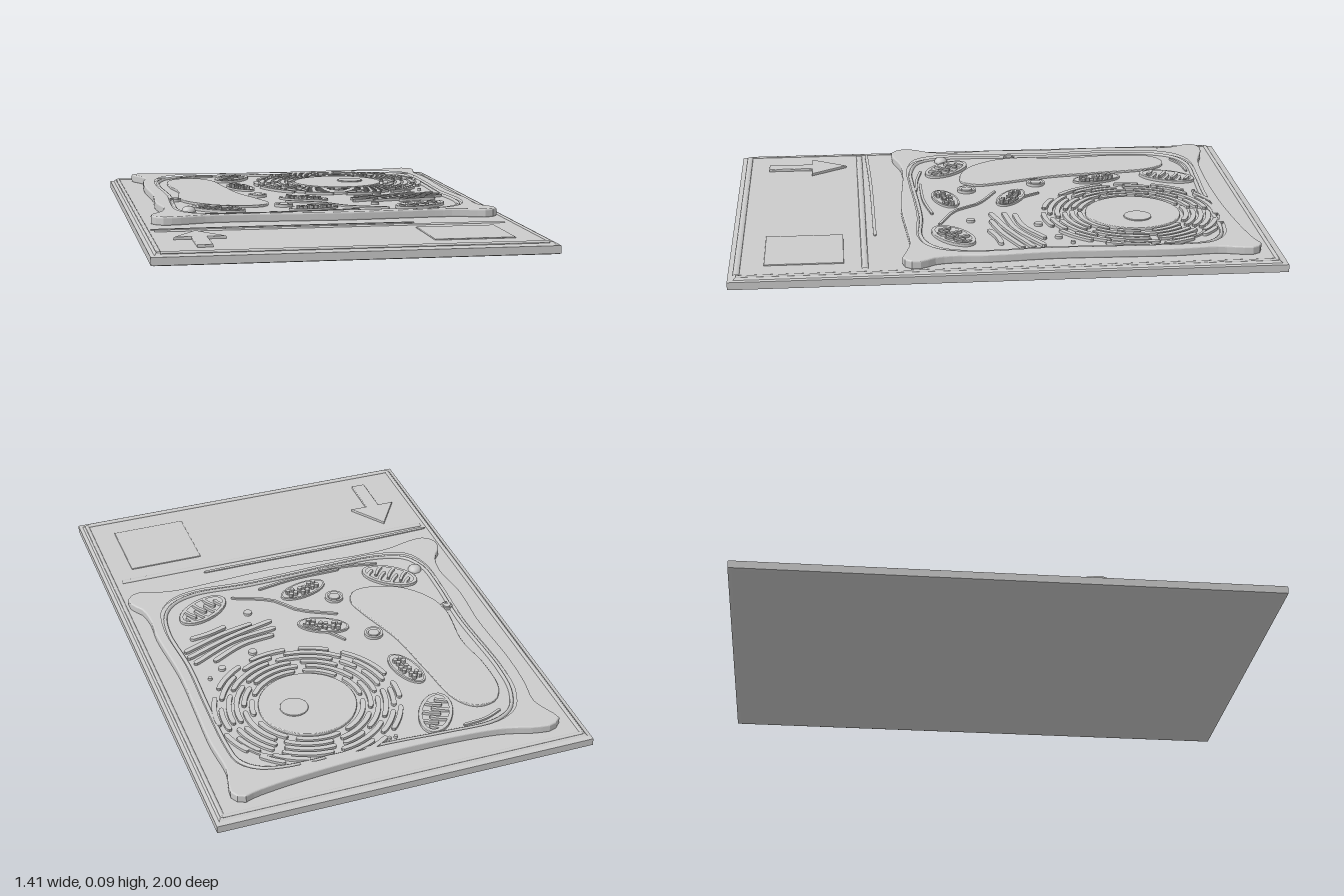
import * as THREE from 'three';

const FLOOR = 0.05;   // top of the base plate
const CELL = 0.07;    // floor inside the cell wall
const TOP = 0.081;    // top of the cell wall

const smooth = new THREE.MeshStandardMaterial({ color: 0xcccccc });
const flat = new THREE.MeshStandardMaterial({ color: 0xcccccc, flatShading: true });

// Flat list x,z,x,z... to vectors in the ground plane
function points(list) {
  const out = [];
  for (let i = 0; i < list.length; i += 2) out.push(new THREE.Vector3(list[i], 0, list[i + 1]));
  return out;
}
const toShape = (pts) => new THREE.Shape(pts.map((p) => new THREE.Vector2(p.x, -p.z)));
const closedCurve = (list) => new THREE.CatmullRomCurve3(points(list), true);

function ellipse(rx, rz, n = 32) {
  const pts = [];
  for (let i = 0; i < n; i++) {
    const a = (i / n) * Math.PI * 2;
    pts.push(new THREE.Vector3(rx * Math.cos(a), 0, rz * Math.sin(a)));
  }
  return pts;
}

// Slab standing on y0 and reaching y1, with an optional rounded top and hole
function slab(parent, name, pts, y0, y1, bevel = 0, hole = null) {
  const shape = toShape(pts);
  if (hole) shape.holes.push(toShape(hole));
  const g = new THREE.ExtrudeGeometry(shape, {
    depth: y1 - y0 - 2 * bevel, bevelEnabled: bevel > 0, bevelThickness: bevel,
    bevelSize: bevel, bevelOffset: -bevel, bevelSegments: 3,
  });
  g.translate(0, 0, bevel).rotateX(-Math.PI / 2).translate(0, y0, 0);
  const m = new THREE.Mesh(g, smooth);
  m.name = name;
  parent.add(m);
  return m;
}

// Raised strip with rounded ends following a curve
function strip(parent, name, list, width, y0, y1, n = 14) {
  const curve = new THREE.CatmullRomCurve3(points(list));
  const len = curve.getLength(), left = [], right = [];
  for (let i = 0; i <= n; i++) {
    const t = 0.5 - 0.5 * Math.cos((Math.PI * i) / n);
    const p = curve.getPointAt(t), d = curve.getTangentAt(t);
    const e = Math.min(1, (Math.min(t, 1 - t) * len) / (width / 2));
    const w = (width / 2) * Math.max(0.3, Math.sqrt(1 - (1 - e) * (1 - e)));
    left.push(new THREE.Vector3(p.x - d.z * w, 0, p.z + d.x * w));
    right.unshift(new THREE.Vector3(p.x + d.z * w, 0, p.z - d.x * w));
  }
  return slab(parent, name, left.concat(right), y0, y1);
}

// Half-round ridge along straight or closed paths
function ridge(parent, name, curve, r, y, height, closed = false) {
  const g = new THREE.TubeGeometry(curve, closed ? 160 : 12, r, 8, closed);
  g.scale(1, height / r, 1).translate(0, y, 0);
  const m = new THREE.Mesh(g, smooth);
  m.name = name;
  parent.add(m);
}

function group(parent, name, x = 0, z = 0, angle = 0) {
  const g = new THREE.Group();
  g.name = name;
  g.position.set(x, 0, z);
  g.rotation.y = angle;
  parent.add(g);
  return g;
}

function buildPlate(root) {
  // Stepped rectangular plate with a slightly bowed underside
  const profile = [[0, 0], [0.985, 0.008], [1, 0.012], [1, 0.04], [0.98, 0.042], [0.97, FLOOR], [0, FLOOR]];
  const g = new THREE.LatheGeometry(
    profile.map(([r, y]) => new THREE.Vector2(r * Math.SQRT2, y)), 4, Math.PI / 4);
  g.scale(0.705, 1, 1);
  const plate = new THREE.Mesh(g, flat);
  plate.name = 'basePlate';
  root.add(plate);

  // Framed caption panel
  const panel = group(root, 'captionPanel');
  const c = [[-0.65, 0.515], [0.64, 0.515], [0.67, 0.97], [-0.67, 0.97]];
  const line = (a, b) => new THREE.LineCurve3(new THREE.Vector3(a[0], 0, a[1]), new THREE.Vector3(b[0], 0, b[1]));
  ridge(panel, 'panelBackRidge', line(c[0], c[1]), 0.012, FLOOR, 0.005);
  ridge(panel, 'panelFrontRidge', line(c[3], c[2]), 0.012, FLOOR, 0.005);
  for (const s of [-1, 1]) {
    ridge(panel, 'plateSideRidge', line([s * 0.675, -0.965], [s * 0.675, 0.97]), 0.008, FLOOR, 0.004);
  }
  ridge(panel, 'plateBackRidge', line([-0.675, -0.965], [0.675, -0.965]), 0.008, FLOOR, 0.004);
  strip(panel, 'panelSeam', [-0.66, 0.485, -0.3, 0.475, 0.31, 0.472], 0.012, FLOOR, 0.054);
  slab(panel, 'arrow', points([-0.51, 0.57, -0.6, 0.71, -0.537, 0.71, -0.537, 0.885,
    -0.482, 0.885, -0.482, 0.71, -0.415, 0.71]), FLOOR - 0.002, 0.06, 0.003);
  slab(panel, 'squarePad', points([0.29, 0.59, 0.58, 0.59, 0.58, 0.875, 0.29, 0.875]), FLOOR - 0.002, 0.054, 0.002);
}

function buildWall(cell) {
  const outer = closedCurve([-0.62, -0.89, -0.58, -0.92, -0.52, -0.915, -0.39, -0.88, 0, -0.865, 0.35, -0.885,
    0.53, -0.91, 0.59, -0.925, 0.62, -0.89, 0.615, -0.84, 0.6, -0.77, 0.61, -0.6, 0.605, -0.4, 0.6, -0.18,
    0.617, 0.08, 0.612, 0.19, 0.625, 0.265, 0.655, 0.31, 0.655, 0.355, 0.62, 0.382, 0.575, 0.372, 0.48, 0.35,
    0.3, 0.355, 0.08, 0.366, -0.13, 0.355, -0.29, 0.345, -0.44, 0.35, -0.55, 0.377, -0.61, 0.377, -0.645, 0.335,
    -0.635, 0.28, -0.6, 0.23, -0.58, 0.13, -0.597, -0.03, -0.587, -0.24, -0.597, -0.5, -0.59, -0.66,
    -0.575, -0.77, -0.597, -0.83]).getSpacedPoints(160).slice(0, -1);
  const inner = closedCurve([-0.555, -0.55, -0.54, -0.7, -0.49, -0.8, -0.4, -0.845, -0.2, -0.845, 0, -0.835,
    0.2, -0.835, 0.4, -0.835, 0.5, -0.81, 0.56, -0.75, 0.575, -0.65, 0.575, -0.4, 0.57, -0.15, 0.585, 0.1,
    0.56, 0.23, 0.5, 0.295, 0.4, 0.325, 0.2, 0.315, 0, 0.32, -0.2, 0.33, -0.38, 0.33, -0.5, 0.29,
    -0.545, 0.2, -0.55, 0.05, -0.54, -0.2]).getSpacedPoints(120).slice(0, -1);
  slab(cell, 'cellWall', outer, FLOOR - 0.002, TOP, 0.006, inner);
  slab(cell, 'cellFloor', inner, FLOOR - 0.002, CELL);
  const membrane = inner.map((p) => new THREE.Vector3(0.015 + (p.x - 0.015) * 0.965, 0, -0.26 + (p.z + 0.26) * 0.965));
  ridge(cell, 'membrane', new THREE.CatmullRomCurve3(membrane, true), 0.007, CELL, 0.009, true);
}

function buildNucleus(cell) {
  const g = group(cell, 'nucleus', 0.21, -0.51);
  slab(g, 'nucleusDisc', ellipse(0.18, 0.18, 64), CELL - 0.002, TOP, 0.003);
  slab(g, 'nucleolus', ellipse(0.052, 0.052), TOP - 0.002, 0.086, 0.002).position.set(0.055, 0, -0.01);
  // Broken concentric folds around the nucleus
  let seed = 7;
  const rand = () => (seed = (seed * 16807) % 2147483647) / 2147483647;
  [0.203, 0.231, 0.259, 0.287, 0.315, 0.34].forEach((r, ring) => {
    const end = ring * 0.9 + Math.PI * 2;
    let a = ring * 0.9;
    while (a < end - 0.15) {
      const b = Math.min(a + (0.09 + 0.14 * rand()) / r, end - 0.03 / r);
      const list = [];
      for (let i = 0; i <= 4; i++) {
        const t = a + ((b - a) * i) / 4;
        list.push(r * Math.cos(t), r * Math.sin(t));
      }
      strip(g, 'reticulumFold', list, 0.019, CELL - 0.002, 0.08, 10);
      a = b + (ring > 3 ? 0.05 : 0.03) / r;
    }
  });
}

// Bean with a raised rim and cross folds
function mitochondrion(cell, x, z, angle) {
  const g = group(cell, 'mitochondrion', x, z, angle);
  slab(g, 'outerRim', ellipse(0.115, 0.062), CELL - 0.002, TOP, 0.002, ellipse(0.102, 0.05));
  for (let i = 0; i < 7; i++) {
    const px = -0.078 + i * 0.026, s = i % 2 ? 1 : -1;
    const edge = 0.056 * Math.sqrt(1 - (px / 0.11) ** 2);
    strip(g, 'innerFold', [px, s * edge, px + 0.004, s * edge * 0.4, px, -s * edge * 0.35], 0.012, CELL - 0.002, TOP, 8);
  }
}

// Lens with three clusters of stacked discs
function chloroplast(cell, x, z, angle) {
  const g = group(cell, 'chloroplast', x, z, angle);
  slab(g, 'outerRim', ellipse(0.1, 0.046), CELL - 0.002, 0.078, 0, ellipse(0.092, 0.038));
  [[-0.05, 0.004], [0, -0.006], [0.05, 0.004]].forEach(([cx, cz]) => {
    for (const dx of [-0.01, 0.01]) for (const dz of [-0.012, 0.012]) {
      slab(g, 'discStack', ellipse(0.009, 0.009, 8), CELL - 0.002, 0.085).position.set(cx + dx, 0, cz + dz);
    }
  });
  strip(g, 'link', [-0.05, 0, 0, -0.002, 0.05, 0], 0.008, CELL - 0.002, 0.079, 6);
}

export function createModel() {
  const root = new THREE.Group();
  root.name = 'cellReliefPlaque';
  buildPlate(root);
  const cell = group(root, 'plantCell');
  buildWall(cell);
  buildNucleus(cell);

  // Large vacuole
  const vacuole = closedCurve([-0.485, -0.66, -0.44, -0.72, -0.365, -0.725, -0.31, -0.66, -0.275, -0.45,
    -0.245, -0.24, -0.18, -0.03, -0.165, 0.05, -0.2, 0.11, -0.285, 0.115, -0.39, 0.07, -0.47, -0.03,
    -0.495, -0.13, -0.475, -0.34, -0.495, -0.5]).getSpacedPoints(80).slice(0, -1);
  slab(cell, 'vacuole', vacuole, CELL - 0.002, 0.079, 0.003);

  [[-0.21, -0.715, 1.08], [-0.375, 0.165, -0.7], [0.4, 0.185, 0.53]].forEach((m) => mitochondrion(cell, ...m));
  [[-0.21, -0.43, -1.3], [-0.01, -0.065, -0.47], [-0.015, 0.19, 0.27]].forEach((c) => chloroplast(cell, ...c));

  // Stacked curved sacs
  [[0.19, -0.06, 0.32, -0.08, 0.455, -0.15], [0.17, -0.02, 0.35, -0.05, 0.53, -0.14],
    [0.17, 0.03, 0.35, -0.02, 0.545, -0.1], [0.25, 0.035, 0.38, 0.005, 0.545, -0.06],
    [0.35, 0.05, 0.43, 0.025, 0.5, 0.015]].forEach((l) => strip(cell, 'golgiSac', l, 0.02, CELL - 0.002, 0.08));

  // Round vesicles with a rim
  [[-0.175, -0.18, 0.036], [-0.115, 0.1, 0.036], [-0.51, -0.105, 0.022]].forEach(([x, z, r]) => {
    const g = group(cell, 'vesicle', x, z);
    slab(g, 'vesicleRim', ellipse(r, r), CELL - 0.002, TOP, 0, ellipse(r * 0.75, r * 0.75));
    slab(g, 'vesicleCore', ellipse(r * 0.6, r * 0.6), CELL - 0.002, TOP, 0.002);
  });
  [[0.44, -0.2, 0.014], [0.3, -0.14, 0.016], [0.24, 0.11, 0.016], [0.5, -0.245, 0.008],
    [-0.025, -0.79, 0.007], [0, -0.792, 0.007], [0.02, -0.795, 0.007]].forEach(([x, z, r]) => {
    slab(cell, 'granule', ellipse(r, r, 14), CELL - 0.002, 0.08).position.set(x, 0, z);
  });

  // Rounded bead near the wall
  const bead = new THREE.Mesh(new THREE.SphereGeometry(0.027, 24, 12), smooth);
  bead.name = 'bead';
  bead.scale.y = 0.8;
  bead.position.set(-0.49, 0.07, 0.18);
  cell.add(bead);

  // Thin strands in the cytoplasm
  [[-0.09, -0.01, 0.05, 0.07, 0.12, 0.16, 0.27, 0.23], [-0.2, 0.28, 0, 0.275, 0.15, 0.25],
    [-0.36, 0.27, -0.25, 0.29, -0.12, 0.3], [-0.06, -0.18, -0.02, -0.12, 0.06, -0.03],
    [-0.44, -0.77, -0.37, -0.8, -0.28, -0.81], [0.36, -0.77, 0.45, -0.73, 0.51, -0.65],
  ].forEach((l) => strip(cell, 'strand', l, 0.01, CELL - 0.002, 0.077));
  return root;
}
